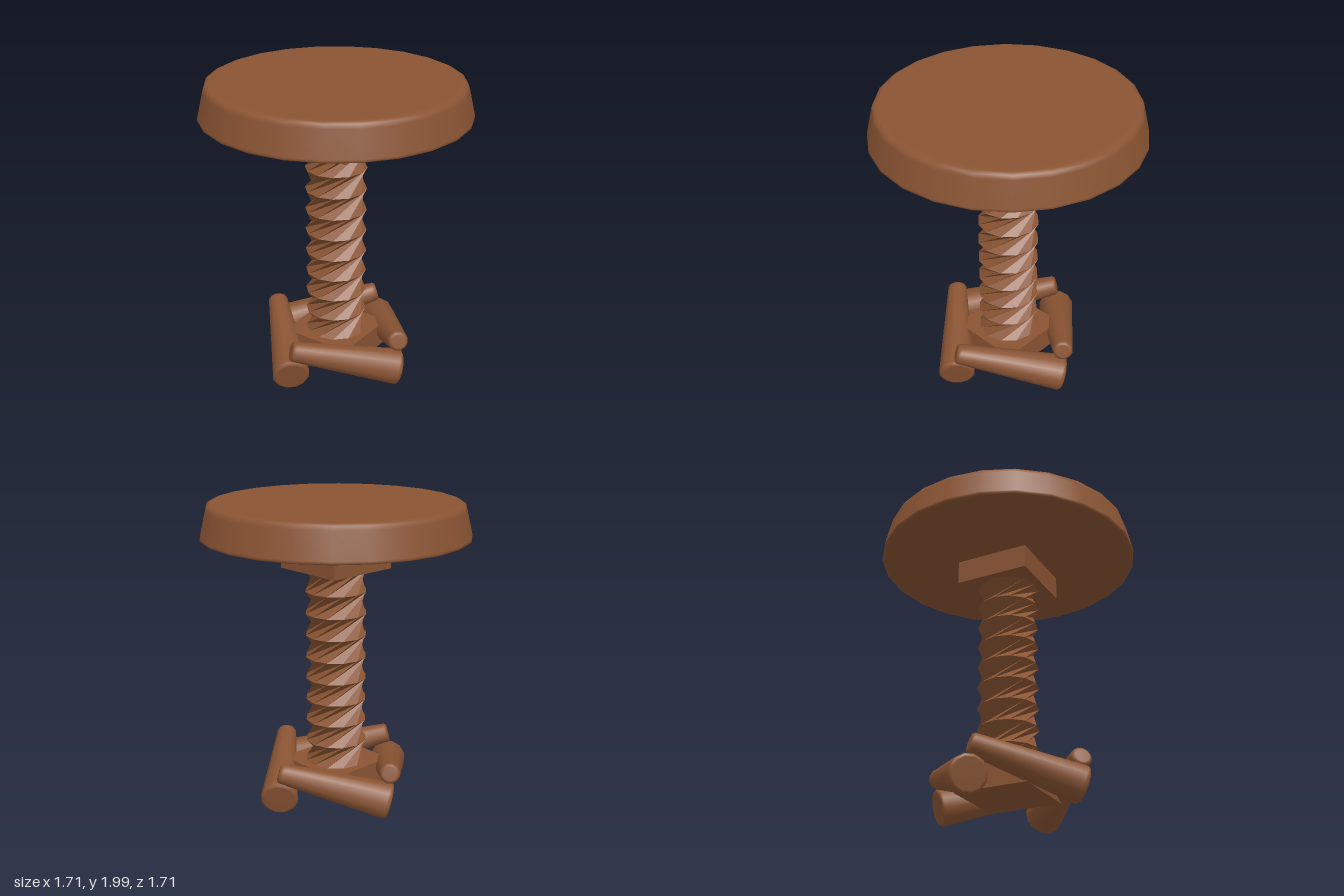
import * as THREE from 'three';

const wood = new THREE.MeshStandardMaterial({ color: 0x8a5433 });
wood.name = 'brown wood';

function part(name, geometry) {
  const mesh = new THREE.Mesh(geometry, wood);
  mesh.name = name;
  return mesh;
}

function lathe(points, sides) {
  return new THREE.LatheGeometry(points.map(([r, y]) => new THREE.Vector2(r, y)), sides);
}

// Twelve-sided screw: each straight segment twists by two sides, creased inward along a diagonal
function screwGeometry(radius, bottom, top, segments) {
  const sides = 12, twist = 2, positions = [];
  const corner = (ring, i) => {
    const a = (i / sides) * Math.PI * 2;
    const y = bottom + ((top - bottom) * ring) / segments;
    return [radius * Math.sin(a), y, radius * Math.cos(a)];
  };
  for (let ring = 0; ring < segments; ring++) {
    for (let i = 0; i < sides; i++) {
      const a0 = corner(ring, i), a1 = corner(ring, i + 1);
      const b0 = corner(ring + 1, i + twist), b1 = corner(ring + 1, i + twist + 1);
      positions.push(...a0, ...a1, ...b1, ...a0, ...b1, ...b0);
    }
  }
  const geometry = new THREE.BufferGeometry();
  geometry.setAttribute('position', new THREE.Float32BufferAttribute(positions, 3));
  geometry.computeVertexNormals();
  return geometry;
}

export function createModel() {
  const model = new THREE.Group();
  model.name = 'stool';

  // Seat: tapered disc with softened rims
  model.add(part('seat', lathe([
    [0, 1.78], [0.83, 1.78], [0.848, 1.78], [0.857, 1.787], [0.855, 1.8],
    [0.816, 1.965], [0.808, 1.99], [0.787, 2], [0.76, 2], [0, 2],
  ], 24)));

  // Square blocks above and below the screw
  for (const [name, y] of [['seatBlock', 1.653], ['baseBlock', 0.193]]) {
    const block = part(name, new THREE.BoxGeometry(0.494, 0.158, 0.494));
    block.position.y = y;
    model.add(block);
  }

  model.add(part('screwColumn', screwGeometry(0.2, 0.272, 1.575, 9)));

  // Four tapered legs, each leaning around the base block
  const foot = new THREE.Vector3(0, 0.121, 0.503);
  const tip = new THREE.Vector3(-0.503, 0.312, 0);
  const axis = tip.clone().sub(foot);
  const length = axis.length();
  const legGeometry = lathe([
    [0, 0], [0.1, 0], [0.112, 0.002], [0.122, 0.014], [0.121, 0.03],
    [0.068, length - 0.03], [0.066, length - 0.014], [0.055, length - 0.002],
    [0.045, length], [0, length],
  ], 12);
  for (let i = 0; i < 4; i++) {
    const leg = part('leg', legGeometry);
    leg.position.copy(foot);
    leg.quaternion.setFromUnitVectors(new THREE.Vector3(0, 1, 0), axis.clone().normalize());
    const pivot = new THREE.Group();
    pivot.name = 'legPivot';
    pivot.rotation.y = (i * Math.PI) / 2;
    pivot.add(leg);
    model.add(pivot);
  }
  return model;
}
